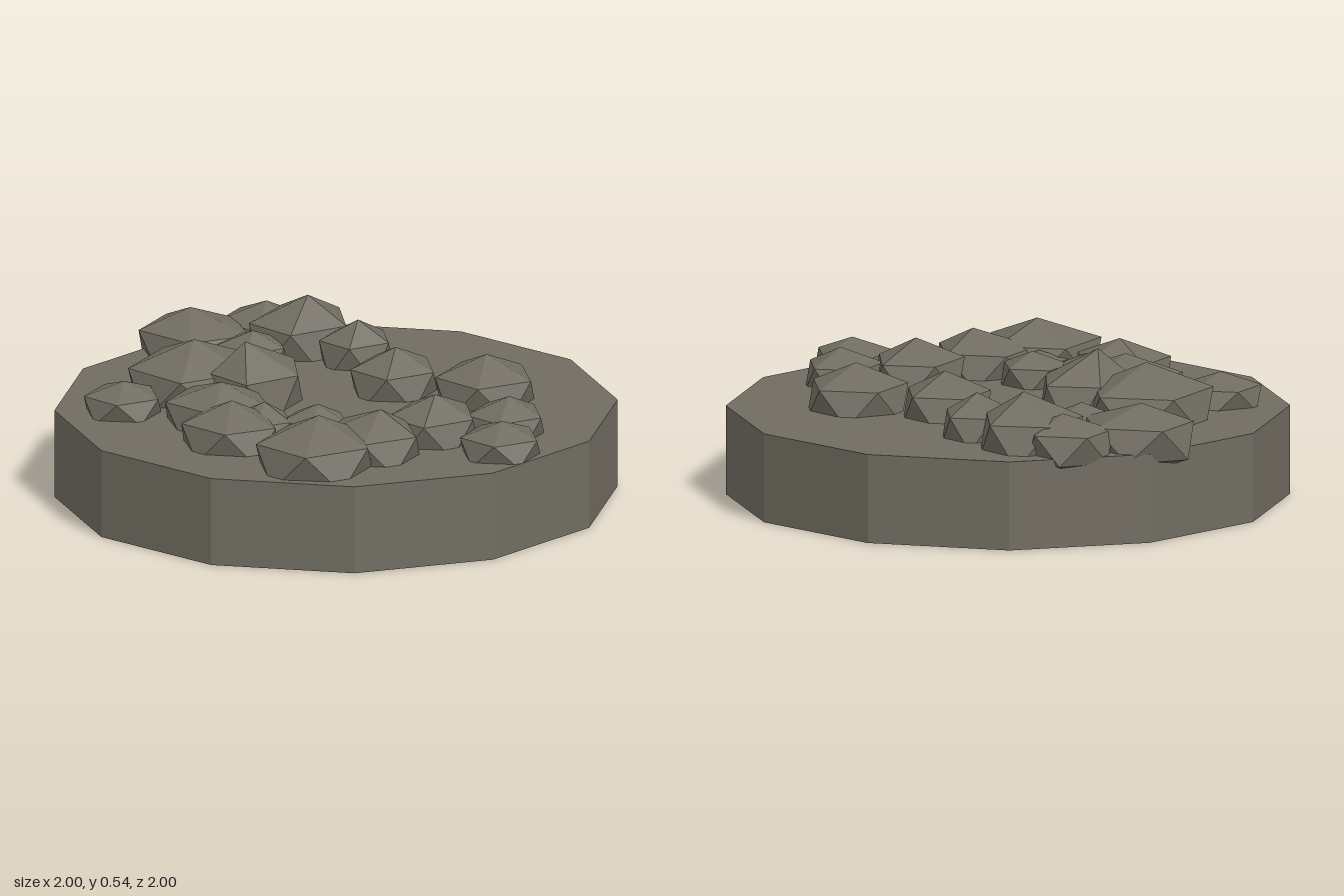
import * as THREE from 'three';

const BASE_HEIGHT = 0.32;
const ROCK_CENTRE = 0.345;

// Each rock: centre x, centre z, half width, half depth, peak x, peak z, peak height
const ROCKS = [
  // back left cluster
  [-0.74, -0.375, 0.21, 0.18, -0.765, -0.385, 0.475],
  [-0.425, -0.58, 0.18, 0.195, -0.4, -0.585, 0.515],
  [-0.59, -0.6, 0.16, 0.15, -0.58, -0.62, 0.46],
  [-0.175, -0.515, 0.13, 0.135, -0.165, -0.51, 0.475],
  [-0.5, -0.335, 0.13, 0.12, -0.49, -0.33, 0.44],
  // back right pair
  [0.105, -0.255, 0.155, 0.16, 0.11, -0.255, 0.48],
  [0.44, -0.305, 0.18, 0.175, 0.445, -0.305, 0.485],
  // right cluster
  [0.69, 0.04, 0.14, 0.14, 0.7, 0.03, 0.455],
  [0.48, 0.2, 0.16, 0.17, 0.49, 0.2, 0.48],
  [0.785, 0.275, 0.145, 0.14, 0.79, 0.27, 0.44],
  // middle left cluster
  [-0.53, 0.08, 0.225, 0.23, -0.52, 0.08, 0.515],
  [-0.275, 0.07, 0.16, 0.19, -0.31, 0.1, 0.54],
  [-0.28, 0.37, 0.2, 0.17, -0.27, 0.37, 0.47],
  [-0.64, 0.41, 0.14, 0.135, -0.635, 0.41, 0.435],
  // front cluster
  [-0.125, 0.595, 0.18, 0.155, -0.13, 0.57, 0.475],
  [-0.07, 0.46, 0.12, 0.11, -0.07, 0.43, 0.44],
  [0.11, 0.385, 0.125, 0.115, 0.11, 0.37, 0.44],
  [0.37, 0.48, 0.185, 0.17, 0.4, 0.45, 0.48],
  [0.26, 0.697, 0.21, 0.207, 0.255, 0.655, 0.495],
  [0.17, 0.53, 0.1, 0.09, 0.17, 0.52, 0.41],
];

// Twenty-sided faceted boulder: peak, two staggered rings of five, and a bottom point
function boulderGeometry([x, z, halfWidth, halfDepth, peakX, peakZ, peakY]) {
  const h = peakY - ROCK_CENTRE;
  const points = [peakX - x, h, peakZ - z];
  for (const level of [1, -1]) {
    for (let i = 0; i < 5; i++) {
      const a = ((i + (level < 0 ? 0.5 : 0)) * Math.PI * 2) / 5;
      points.push(Math.cos(a) * halfWidth, level * 0.447 * h, (Math.sin(a) * halfDepth) / 0.951);
    }
  }
  points.push(0, -h, 0);

  const faces = [];
  for (let i = 0; i < 5; i++) {
    const next = (i + 1) % 5;
    const u0 = 1 + i, u1 = 1 + next, l0 = 6 + i, l1 = 6 + next;
    faces.push(0, u1, u0, u0, u1, l0, l0, u1, l1, 11, l0, l1);
  }
  const indexed = new THREE.BufferGeometry();
  indexed.setAttribute('position', new THREE.Float32BufferAttribute(points, 3));
  indexed.setIndex(faces);
  const geometry = indexed.toNonIndexed();
  geometry.computeVertexNormals();
  return geometry;
}

export function createModel() {
  const model = new THREE.Group();
  model.name = 'rockyDisc';

  const stone = new THREE.MeshStandardMaterial({ color: 0x706c61, flatShading: true });
  stone.name = 'stone';

  // Twelve-sided slab
  const base = new THREE.Mesh(new THREE.CylinderGeometry(1, 1, BASE_HEIGHT, 12), stone);
  base.name = 'base';
  base.position.y = BASE_HEIGHT / 2;
  model.add(base);

  // Boulders half sunk into the slab
  const rocks = new THREE.Group();
  rocks.name = 'rocks';
  ROCKS.forEach((spec, i) => {
    const rock = new THREE.Mesh(boulderGeometry(spec), stone);
    rock.name = `rock${i + 1}`;
    rock.position.set(spec[0], ROCK_CENTRE, spec[1]);
    rocks.add(rock);
  });
  model.add(rocks);

  return model;
}
